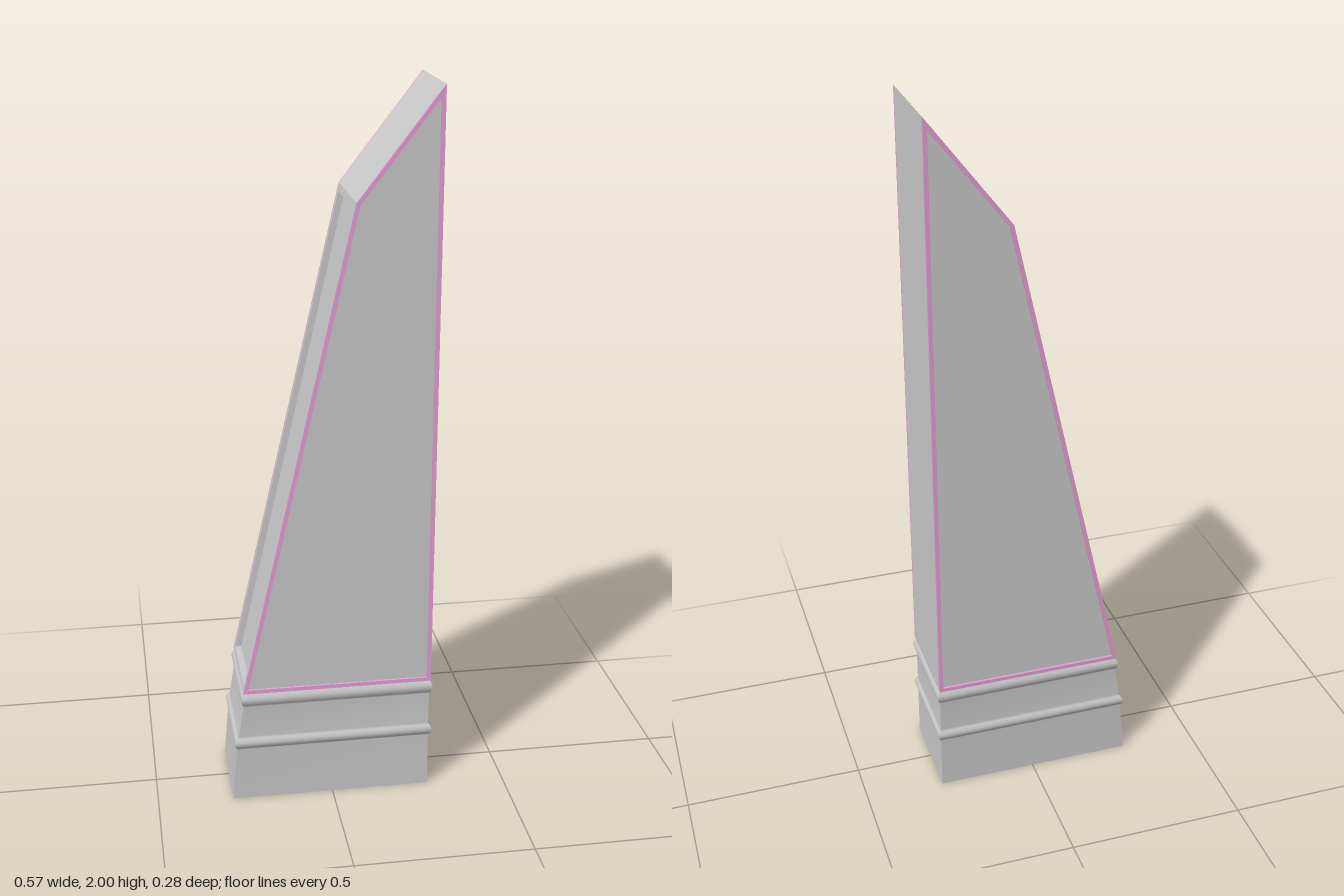
import * as THREE from 'three';

const grey = new THREE.MeshStandardMaterial({ color: 0xcccccc, side: THREE.DoubleSide });
const pink = new THREE.MeshStandardMaterial({ color: 0xe6a0d4 });

// Side outline of the tapered body, counter-clockwise
const outline = [[-0.253, 0.34], [0.28, 0.34], [0.28, 2], [0.057, 1.71]]
  .map(([x, y]) => new THREE.Vector2(x, y));
const slantX = (y) => -0.253 + (y - 0.34) * (0.31 / 1.37);

// Moves every edge of a convex counter-clockwise polygon inwards by d
function inset(points, d) {
  const n = points.length;
  return points.map((p, i) => {
    const e1 = p.clone().sub(points[(i + n - 1) % n]).normalize();
    const e2 = points[(i + 1) % n].clone().sub(p).normalize();
    const n1 = new THREE.Vector2(-e1.y, e1.x);
    const n2 = new THREE.Vector2(-e2.y, e2.x);
    return n1.clone().add(n2).multiplyScalar(d / (1 + n1.dot(n2))).add(p);
  });
}

// Extrudes a shape between two z positions
function slab(shape, z0, z1, material, name) {
  const geometry = new THREE.ExtrudeGeometry(shape, { depth: z1 - z0, bevelEnabled: false });
  geometry.translate(0, 0, z0);
  const mesh = new THREE.Mesh(geometry, material);
  mesh.name = name;
  return mesh;
}

// Base rings: height, left x, right x, half depth; two rounded ribs
function baseRings() {
  const rings = [[0, -0.287, 0.278, 0.133]];
  const rib = (y0, y1, left0, left1) => {
    for (let i = 0; i <= 8; i++) {
      const t = i / 8;
      const out = 0.0085 * Math.sin(Math.PI * t);
      rings.push([y0 + (y1 - y0) * t, left0 + (left1 - left0) * t - out, 0.2775 + out, 0.133 + out]);
    }
  };
  rib(0.16, 0.2, -0.273, -0.268);
  rib(0.295, 0.34, -0.252, -0.25);
  return rings;
}

// Open-bottomed base: four walls, smooth along their height with sharp corners
function createBase() {
  const base = new THREE.Group();
  base.name = 'base';
  const rings = baseRings();
  const corners = ([y, l, r, h]) => [[l, y, h], [r, y, h], [r, y, -h], [l, y, -h]];
  ['frontWall', 'rightEndWall', 'backWall', 'leftEndWall'].forEach((name, side) => {
    const positions = [];
    const index = [];
    rings.forEach((ring, i) => {
      const c = corners(ring);
      positions.push(...c[side], ...c[(side + 1) % 4]);
      if (i) {
        const a = 2 * (i - 1);
        index.push(a, a + 1, a + 3, a, a + 3, a + 2);
      }
    });
    const geometry = new THREE.BufferGeometry();
    geometry.setAttribute('position', new THREE.Float32BufferAttribute(positions, 3));
    geometry.setIndex(index);
    geometry.computeVertexNormals();
    const wall = new THREE.Mesh(geometry, grey);
    wall.name = name;
    base.add(wall);
  });
  return base;
}

export function createModel() {
  const model = new THREE.Group();
  model.name = 'taperedTower';
  model.add(createBase());

  // Core with the long recess in its sloping face
  const low = 0.355, high = 1.69, depth = 0.017;
  const core = new THREE.Shape([
    outline[0], outline[1], outline[2], outline[3],
    new THREE.Vector2(slantX(high), high),
    new THREE.Vector2(slantX(high) + depth, high),
    new THREE.Vector2(slantX(low) + depth, low),
    new THREE.Vector2(slantX(low), low),
  ]);
  model.add(slab(core, -0.118, 0.118, grey, 'recessedCore'));

  // Side cheeks, each edged with a thin raised coloured trim
  const cheek = new THREE.Shape(outline);
  const trim = new THREE.Shape(outline);
  trim.holes.push(new THREE.Path(inset(outline, 0.011).reverse()));
  model.add(slab(cheek, 0.118, 0.135, grey, 'frontCheek'));
  model.add(slab(cheek, -0.135, -0.118, grey, 'backCheek'));
  model.add(slab(trim, 0.135, 0.142, pink, 'frontTrim'));
  model.add(slab(trim, -0.142, -0.135, pink, 'backTrim'));
  return model;
}
